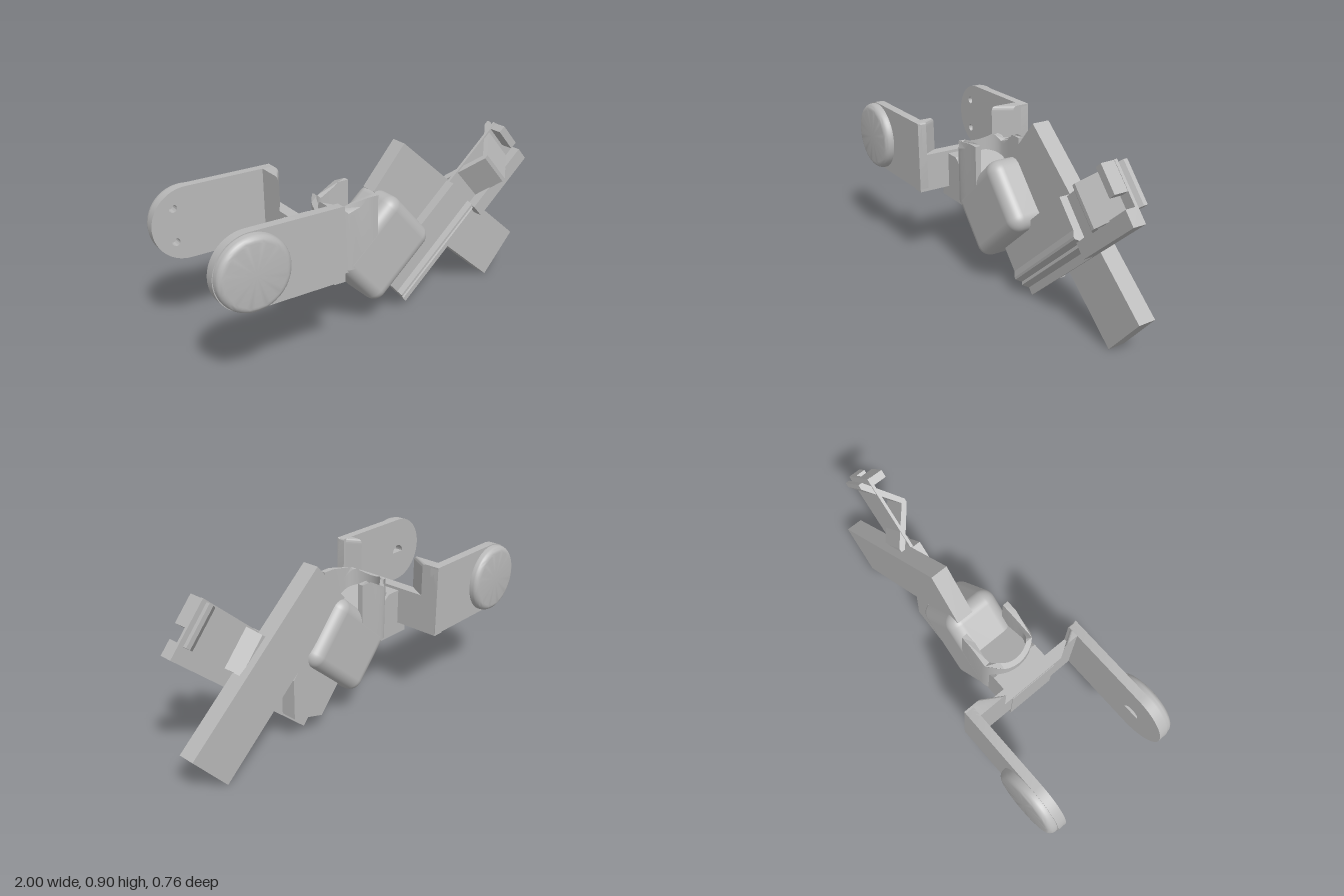
import * as THREE from 'three';
import { toCreasedNormals } from 'three/addons/utils/BufferGeometryUtils.js';
import { RoundedBoxGeometry } from 'three/addons/geometries/RoundedBoxGeometry.js';

const grey = new THREE.MeshStandardMaterial({ color: 0xb8b8b8 });
grey.name = 'grey';

function add(parent, name, geometry, x = 0, y = 0, z = 0) {
  const m = new THREE.Mesh(geometry, grey);
  m.name = name;
  m.position.set(x, y, z);
  parent.add(m);
  return m;
}
const poly = (pts) => new THREE.Shape(pts.map(([x, y]) => new THREE.Vector2(x, y)));
const extrude = (shape, depth) =>
  new THREE.ExtrudeGeometry(shape, { depth, bevelEnabled: false, curveSegments: 24 });
// box given by its limits
function slab(parent, name, [x0, x1], [y0, y1], [z0, z1]) {
  return add(parent, name, new THREE.BoxGeometry(x1 - x0, y1 - y0, z1 - z0),
    (x0 + x1) / 2, (y0 + y1) / 2, (z0 + z1) / 2);
}
function hole(shape, x, y, r, end = Math.PI * 2) {
  const p = new THREE.Path();
  p.absarc(x, y, r, 0, end, false);
  p.closePath();
  shape.holes.push(p);
}

function buildFork() {
  const fork = new THREE.Group();
  fork.name = 'fork';
  const cx = -0.82, cy = 0.625, r = 0.182;
  slab(fork, 'crossbar', [-0.415, -0.355], [0.438, 0.635], [-0.337, 0.337]);
  for (const s of [-1, 1]) {
    // side arm with a round end
    const arm = new THREE.Shape();
    arm.moveTo(-0.365, cy - r);
    arm.quadraticCurveTo(-0.355, cy - r, -0.355, cy - r + 0.01);
    arm.lineTo(-0.355, cy + r - 0.01);
    arm.quadraticCurveTo(-0.355, cy + r, -0.365, cy + r);
    arm.lineTo(cx, cy + r);
    arm.absarc(cx, cy, r, Math.PI / 2, Math.PI * 1.5, false);
    if (s < 0) {
      hole(arm, cx - 0.07, cy + 0.085, 0.02);
      hole(arm, cx - 0.07, cy - 0.085, 0.02);
    } else hole(arm, cx, cy - 0.015, 0.042, Math.PI);
    add(fork, 'forkArm', toCreasedNormals(extrude(arm, 0.046), 0.5), 0, 0, s < 0 ? -0.337 : 0.291);

    // round cap with a soft outer edge
    const profile = [[0, 0], [0.178, 0]];
    for (let i = 0; i <= 6; i++) {
      const a = (i / 6) * Math.PI / 2;
      profile.push([0.145 + 0.033 * Math.cos(a), 0.011 + 0.033 * Math.sin(a)]);
    }
    profile.push([0, 0.044]);
    const cap = new THREE.LatheGeometry(profile.map((p) => new THREE.Vector2(...p)), 48);
    cap.rotateX(s * Math.PI / 2);
    add(fork, 'endCap', toCreasedNormals(cap, 0.6), cx, cy, s * 0.337);

    // raised corner of the crossbar, slanted on its inner side
    const inner = s < 0 ? 0.14 : 0.215;
    const corner = new THREE.Shape();
    corner.moveTo(-s * 0.337, 0.635);
    corner.lineTo(-s * inner, 0.635);
    corner.lineTo(-s * inner, 0.78);
    corner.quadraticCurveTo(-s * inner, 0.807, -s * (inner + 0.027), 0.807);
    corner.lineTo(-s * 0.337, 0.807);
    const g = extrude(corner, 0.06).rotateY(Math.PI / 2);
    const p = g.attributes.position;
    for (let i = 0; i < p.count; i++) {
      const z = Math.abs(p.getZ(i));
      if (p.getX(i) > 0.03 && z < 0.33) p.setZ(i, s * Math.min(0.335, z + 0.1));
    }
    g.computeVertexNormals();
    add(fork, 'crossbarCorner', toCreasedNormals(g, 0.5), -0.415);
  }
  return fork;
}

function buildNeck() {
  const neck = new THREE.Group();
  neck.name = 'neck';
  // U-shaped collar in plan with a notched top
  const knots = [[-0.355, 0.63], [-0.26, 0.715], [-0.205, 0.665], [-0.12, 0.74], [-0.06, 0.74]];
  const xs = [-0.06, -0.08, -0.12, -0.16, -0.205];
  const arc = (r) => {
    const pts = xs.map((x) => [x, r]);
    for (let i = 0; i <= 16; i++) {
      const a = Math.PI / 2 + (i / 16) * Math.PI;
      pts.push([-0.205 + r * Math.cos(a) * 0.75, r * Math.sin(a)]);
    }
    return pts.concat(xs.slice().reverse().map((x) => [x, -r]));
  };
  const dedupe = (pts) => pts.filter((p, i) => !i || Math.hypot(p[0] - pts[i - 1][0], p[1] - pts[i - 1][1]) > 1e-5);
  const g = extrude(poly([...dedupe(arc(0.142)), ...dedupe(arc(0.112)).reverse()]), 0.3).rotateX(-Math.PI / 2);
  const p = g.attributes.position;
  for (let i = 0; i < p.count; i++) {
    const x = p.getX(i);
    let y = 0.39;
    if (p.getY(i) > 0.1) {
      let k = 0;
      while (k < 3 && x > knots[k + 1][0]) k++;
      const [a, b] = [knots[k], knots[k + 1]];
      y = a[1] + (b[1] - a[1]) * (x - a[0]) / (b[0] - a[0]);
    }
    p.setY(i, y);
  }
  g.computeVertexNormals();
  add(neck, 'notchedCollar', toCreasedNormals(g, 0.4), 0, 0, 0.038);
  // sloping floor inside the collar, and the link to the fork
  add(neck, 'collarFloor', extrude(poly([[-0.28, 0.42], [0, 0.45], [0, 0.51], [-0.06, 0.54], [-0.28, 0.63]]), 0.224), 0, 0, -0.074);
  add(neck, 'forkLink', extrude(poly([[-0.418, 0.375], [-0.2, 0.375], [-0.2, 0.56], [-0.28, 0.62], [-0.418, 0.62]]), 0.26), 0, 0, -0.092);
  return neck;
}

// slanted plate: local x runs along it, local y across it
function buildRailPlate() {
  const plate = new THREE.Group();
  plate.name = 'railPlate';
  plate.position.set(0.23, 0.015, 0);
  plate.rotation.z = Math.atan2(0.675, 0.77);

  // grooved lower half
  const rail = extrude(poly([[0, 0.03], [0.3, 0.03], [0.3, 0.084], [0.14, 0.084], [0.11, 0.096], [0.098, 0.096],
    [0.078, 0.066], [0.062, 0.074], [0.04, 0.04], [0, 0.04]]), 0.615);
  rail.applyMatrix4(new THREE.Matrix4().makeBasis(
    new THREE.Vector3(0, 1, 0), new THREE.Vector3(0, 0, 1), new THREE.Vector3(1, 0, 0)));
  add(plate, 'groovedRail', rail);

  // upper half with its lip and hook
  slab(plate, 'upperPlate', [0.615, 1.02], [0.08, 0.294], [0.03, 0.045]);
  slab(plate, 'lip', [0.615, 1.02], [0, 0.08], [0.03, 0.096]);
  slab(plate, 'hook', [0.978, 1.018], [0.15, 0.292], [0.045, 0.115]);

  // folded sheet crossing the plate
  const fold = extrude(poly([[0.62, -0.02], [0.645, -0.02], [0.825, 0.115], [0.995, -0.02], [1.02, -0.02],
    [1.02, 0.0], [0.835, 0.14], [0.815, 0.14], [0.62, 0.0]]), 0.21).rotateX(Math.PI / 2);
  add(plate, 'foldedSheet', fold, 0, 0.285, 0);

  // angular gusset behind the rail
  add(plate, 'gusset', extrude(poly([[0.02, 0.09], [0.2, 0.01], [0.34, 0.17], [0.34, 0.3], [0.02, 0.3]]), 0.085), 0, 0, -0.055);

  // soft-edged central block
  add(plate, 'centralBlock', new RoundedBoxGeometry(0.46, 0.375, 0.285, 6, 0.065), 0.1, 0.455, 0.038);
  return plate;
}

export function createModel() {
  const model = new THREE.Group();
  model.name = 'forkedBracket';
  model.add(buildFork(), buildNeck(), buildRailPlate());
  // plain bar crossing behind the rail plate
  const bar = add(model, 'crossingBar', new THREE.BoxGeometry(1.046, 0.283, 0.09), 0.51, 0.4535, -0.015);
  bar.rotation.z = -Math.atan2(0.685, 0.79);
  return model;
}
